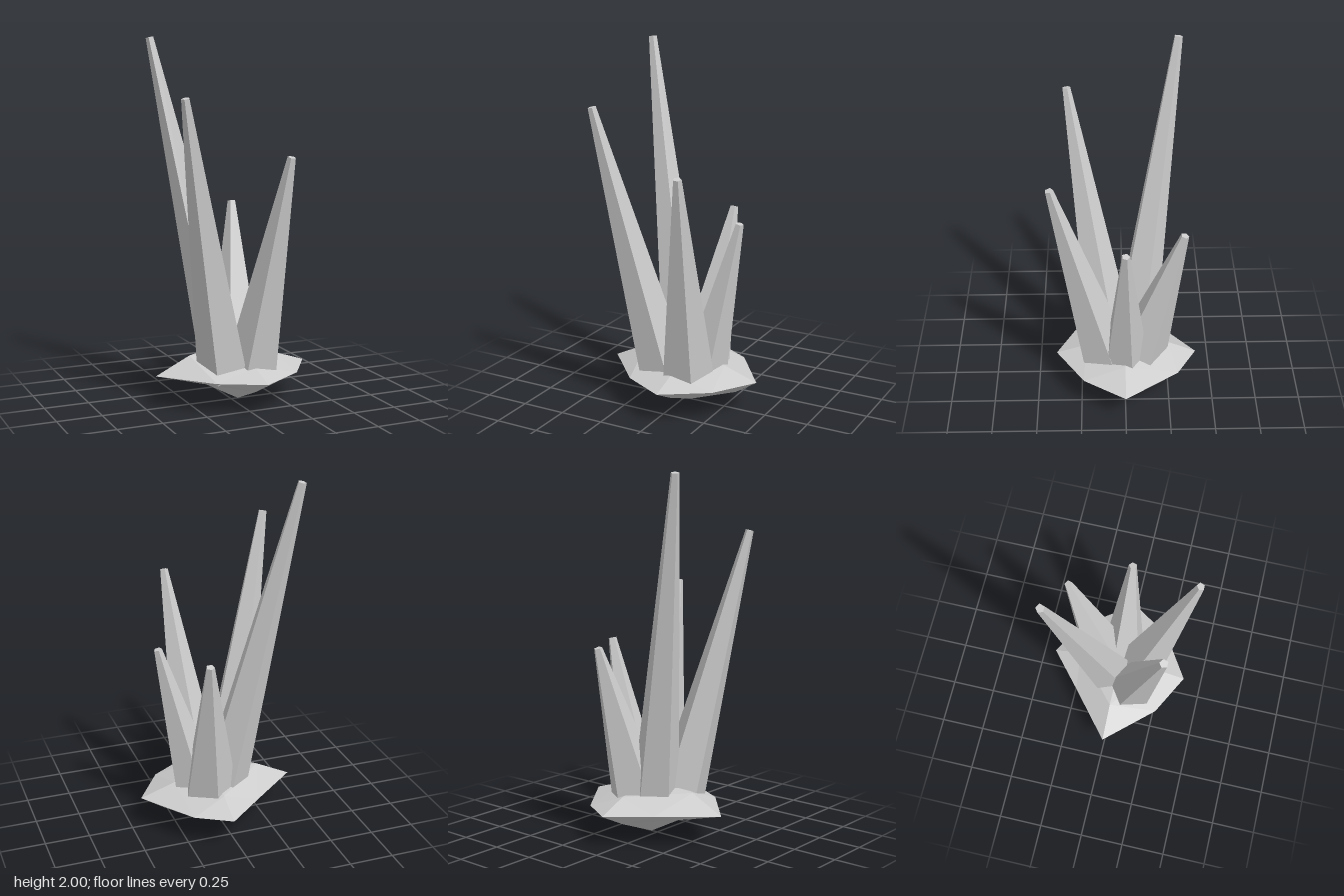
import * as THREE from 'three';

const CENTRE_X = 0.04;

// Squashed, uneven octahedron subdivided once: two tips, two inner rings, one rim
function rockGeometry() {
  const rim = [[0.445, 0], [0.29, 0.235], [0.04, 0.395], [-0.2, 0.27],
    [-0.445, 0], [-0.17, -0.23], [0.04, -0.41], [0.23, -0.3]].map(([x, z]) => [x, 0.18, z]);
  const halves = [
    { tip: [0.04, 0.3, 0], ring: [[0.25, 0.245, 0], [0.04, 0.235, 0.225], [-0.25, 0.275, 0], [0.04, 0.25, -0.25]] },
    { tip: [0.04, 0, 0], ring: [[0.32, 0.1, 0], [0.04, 0.1, 0.24], [-0.15, 0.1, 0], [0.04, 0.1, -0.25]], flip: true },
  ];
  const positions = [];
  for (const { tip, ring, flip } of halves) {
    const face = (a, b, c) => positions.push(...a, ...(flip ? c : b), ...(flip ? b : c));
    for (let i = 0; i < 4; i++) {
      const j = (i + 1) % 4;
      const mid = rim[2 * i + 1];
      face(tip, ring[j], ring[i]);
      face(ring[i], ring[j], mid);
      face(ring[i], mid, rim[2 * i]);
      face(ring[j], rim[2 * j], mid);
    }
  }
  const geometry = new THREE.BufferGeometry();
  geometry.setAttribute('position', new THREE.Float32BufferAttribute(positions, 3));
  geometry.computeVertexNormals();
  return geometry;
}

export function createModel() {
  const group = new THREE.Group();
  const material = new THREE.MeshStandardMaterial({ color: 0xcccccc, flatShading: true });

  const rock = new THREE.Mesh(rockGeometry(), material);
  rock.name = 'rockBase';
  group.add(rock);

  // Five leaning, tapered crystals spread evenly around the rock
  const crystals = [
    { foot: 0.075, reach: 0.29, height: 1.07, radius: 0.136 },
    { foot: 0.113, reach: 0.415, height: 1.378, radius: 0.152 },
    { foot: 0.15, reach: 0.526, height: 1.685, radius: 0.147 },
    { foot: 0.074, reach: 0.49, height: 1.995, radius: 0.137 },
    { foot: 0.085, reach: 0.336, height: 1.07, radius: 0.16 },
  ];
  const up = new THREE.Vector3(0, 1, 0);
  crystals.forEach(({ foot, reach, height, radius }, i) => {
    const angle = (i * Math.PI * 2) / 5;
    const at = (r, y) => new THREE.Vector3(CENTRE_X + r * Math.cos(angle), y, r * Math.sin(angle));
    const bottom = at(foot, 0.18);
    const top = at(reach, height);
    const axis = top.clone().sub(bottom);
    const geometry = new THREE.CylinderGeometry(0.023, radius, axis.length(), 5, 1, false, Math.PI);
    const crystal = new THREE.Mesh(geometry, material);
    crystal.name = `crystal${i + 1}`;
    crystal.position.copy(bottom).lerp(top, 0.5);
    crystal.quaternion.setFromUnitVectors(up, axis.normalize());
    group.add(crystal);
  });

  return group;
}
